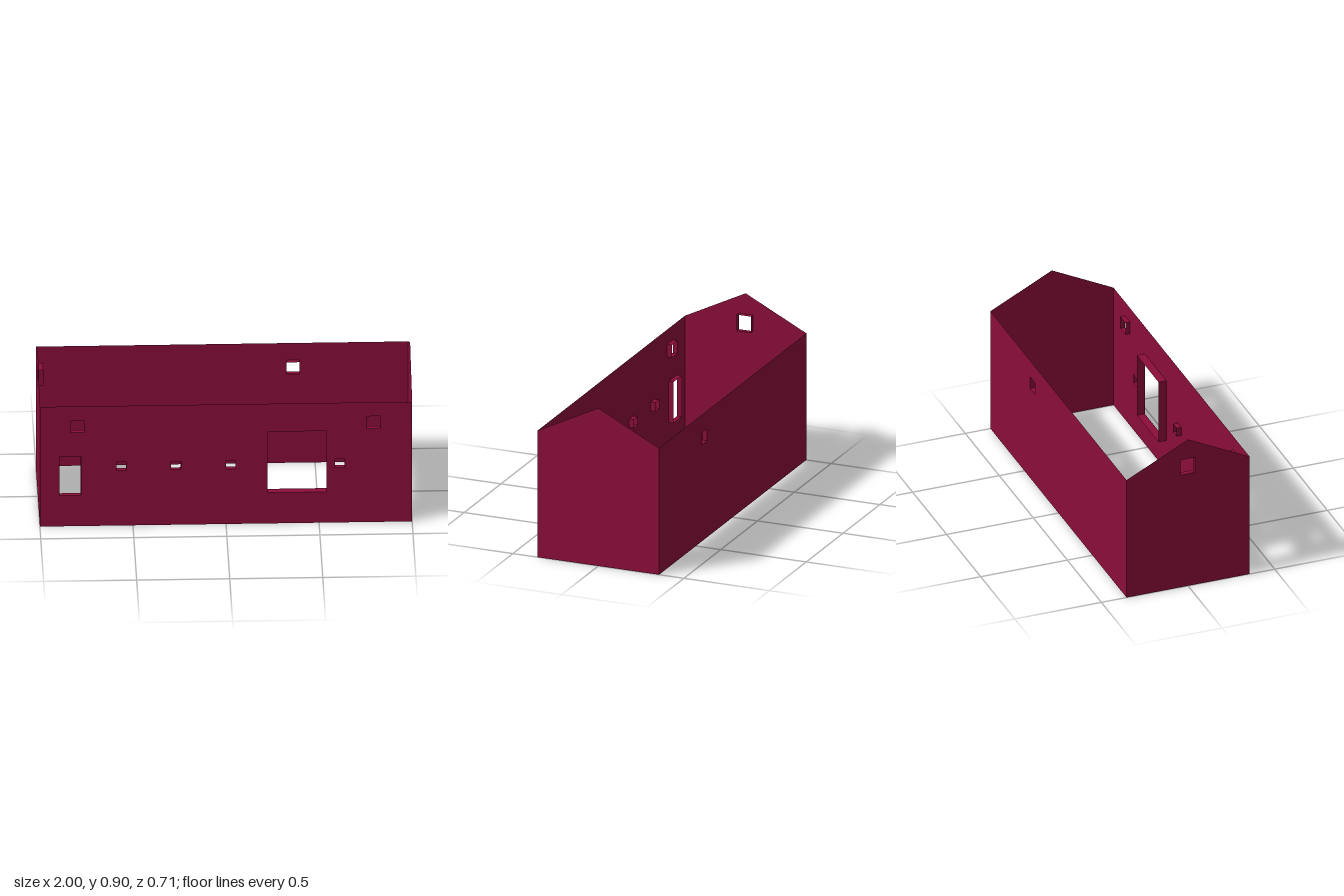
import * as THREE from 'three';
import { mergeGeometries } from 'three/addons/utils/BufferGeometryUtils.js';

const HALF_LENGTH = 1, HALF_DEPTH = 0.355, EAVES = 0.722, RIDGE = 0.9;

// Closed path from corner points
function trace(path, points) {
  points.forEach(([x, y], i) => (i ? path.lineTo(x, y) : path.moveTo(x, y)));
  path.closePath();
  return path;
}

const corners = ({ x0, x1, y0, y1 }) => [[x0, y0], [x1, y0], [x1, y1], [x0, y1]];

// Four flat sides running inward from the edge of an opening
function revealGeometry({ x0, x1, y0, y1, depth }) {
  const w = x1 - x0, h = y1 - y0, cx = (x0 + x1) / 2, cy = (y0 + y1) / 2, z = -depth / 2;
  return mergeGeometries([
    new THREE.PlaneGeometry(w, depth).rotateX(-Math.PI / 2).translate(cx, y0, z),
    new THREE.PlaneGeometry(w, depth).rotateX(Math.PI / 2).translate(cx, y1, z),
    new THREE.PlaneGeometry(depth, h).rotateY(Math.PI / 2).translate(x0, cy, z),
    new THREE.PlaneGeometry(depth, h).rotateY(-Math.PI / 2).translate(x1, cy, z),
  ]);
}

const opening = (name, x0, x1, y0, y1, depth = 0.028) => ({ name, x0, x1, y0, y1, depth });

export function createModel() {
  const model = new THREE.Group();
  model.name = 'houseShell';
  const material = new THREE.MeshStandardMaterial({ color: 0x8c0d3a, side: THREE.DoubleSide });
  material.name = 'crimson wall';

  // A thin wall facing local +z, pierced by its openings
  function addWall(name, outline, openings, x, z, turn) {
    const wall = new THREE.Group();
    wall.name = name;
    const shape = trace(new THREE.Shape(), outline);
    shape.holes = openings.map((o) => trace(new THREE.Path(), corners(o).reverse()));
    const face = new THREE.Mesh(new THREE.ShapeGeometry(shape), material);
    face.name = name + 'Face';
    wall.add(face);
    for (const o of openings) {
      const reveal = new THREE.Mesh(revealGeometry(o), material);
      reveal.name = o.name + 'Reveal';
      wall.add(reveal);
    }
    wall.position.set(x, 0, z);
    wall.rotation.y = turn;
    model.add(wall);
  }

  const longWall = corners({ x0: -HALF_LENGTH, x1: HALF_LENGTH, y0: 0, y1: EAVES });
  const gable = [[-HALF_DEPTH, 0], [HALF_DEPTH, 0], [HALF_DEPTH, EAVES], [0, RIDGE], [-HALF_DEPTH, EAVES]];

  // Front wall: two upper windows, a door, a wide opening and four small windows
  const frontOpenings = [
    opening('upperWindow', -0.835, -0.76, 0.565, 0.638),
    opening('upperWindow', 0.755, 0.83, 0.565, 0.638),
    opening('door', -0.895, -0.78, 0.185, 0.42),
    opening('wideOpening', 0.222, 0.54, 0.185, 0.553, 0.045),
    ...[-0.562, -0.269, 0.026, 0.612].map((x) =>
      opening('smallWindow', x - 0.026, x + 0.026, 0.332, 0.382)),
  ];
  addWall('frontWall', longWall, frontOpenings, 0, HALF_DEPTH, 0);

  // Back wall: one window
  addWall('backWall', longWall, [opening('backWindow', -0.416, -0.346, 0.55, 0.62)], 0, -HALF_DEPTH, Math.PI);

  // Gable ends: only the one at -x has a window
  addWall('rightGable', gable, [opening('gableWindow', -0.043, 0.04, 0.69, 0.782)], -HALF_LENGTH, 0, -Math.PI / 2);
  addWall('leftGable', gable, [], HALF_LENGTH, 0, Math.PI / 2);

  return model;
}
